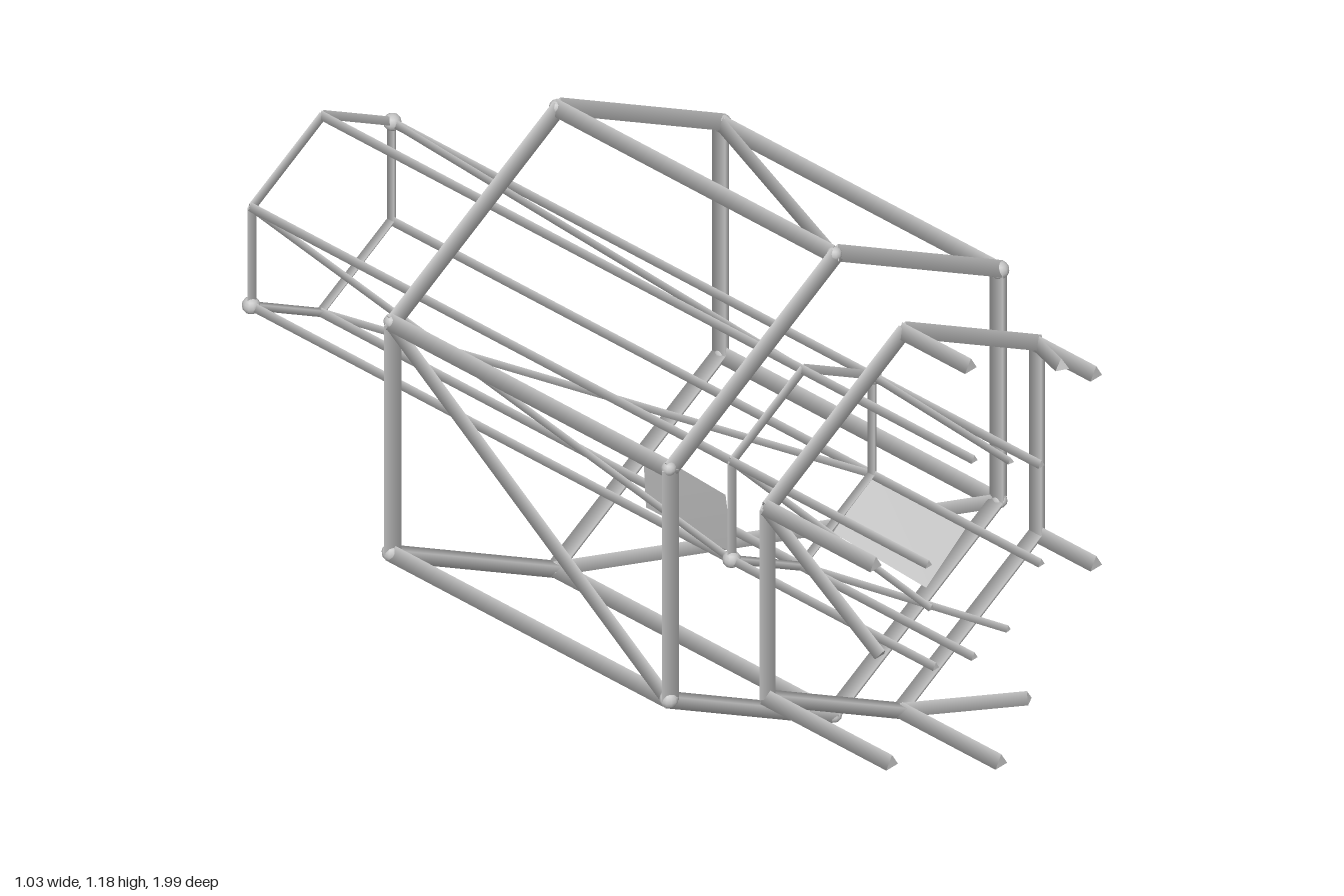
import * as THREE from 'three';

const steel = new THREE.MeshStandardMaterial({ color: 0xc4c4c4 });
steel.name = 'bare steel';
const sheet = new THREE.MeshStandardMaterial({ color: 0xc4c4c4, side: THREE.DoubleSide });
sheet.name = 'sheet steel';

const CY = 0.585; // height of the common axis
const V = (x, y, z) => new THREE.Vector3(x, y, z);

// corner i of a hexagon, counted from the top towards +x
function corner(radius, i, z) {
  const a = (i * Math.PI) / 3;
  return V(Math.sin(a) * radius, CY + Math.cos(a) * radius, z);
}

// three-sided bar from a to b with one ridge turned towards "ridge"
function bar(group, name, a, b, r, ridge = V(0, 1, 0)) {
  const dir = b.clone().sub(a);
  const mesh = new THREE.Mesh(new THREE.CylinderGeometry(r, r, dir.length(), 3), steel);
  dir.normalize();
  const side = dir.clone().cross(ridge).normalize();
  const up = side.clone().cross(dir);
  mesh.quaternion.setFromRotationMatrix(new THREE.Matrix4().makeBasis(side, dir, up));
  mesh.position.copy(a).add(b).multiplyScalar(0.5);
  mesh.name = name;
  group.add(mesh);
}

function ball(group, p, r) {
  const mesh = new THREE.Mesh(new THREE.SphereGeometry(r, 12, 8), steel);
  mesh.position.copy(p);
  mesh.name = 'jointBall';
  group.add(mesh);
}

// hexagonal frame ring, ridges outward
function ring(group, name, radius, z, r) {
  for (let i = 0; i < 6; i++) {
    const a = corner(radius, i, z), b = corner(radius, i + 1, z);
    const out = a.clone().add(b).multiplyScalar(0.5).sub(V(0, CY, z));
    bar(group, name, a, b, r, out);
  }
}

// thin sheet through four corners
function panel(group, name, pts) {
  const g = new THREE.BufferGeometry().setFromPoints(pts);
  g.setIndex([0, 1, 2, 0, 2, 3]);
  g.computeVertexNormals();
  const mesh = new THREE.Mesh(g, sheet);
  mesh.name = name;
  group.add(mesh);
}

function section(root, name) {
  const g = new THREE.Group();
  g.name = name;
  root.add(g);
  return g;
}

export function createModel() {
  const root = new THREE.Group();
  root.name = 'brokenTruss';

  // outer cage: two rings, six beams and three diagonals
  const cage = section(root, 'outerCage');
  const R = 0.569, F = 0.458, B = -0.318, t = 0.021;
  for (const z of [F, B]) {
    ring(cage, 'cageRing', R, z, t);
    for (let i = 0; i < 6; i++) ball(cage, corner(R, i, z), i === 1 || i === 4 ? 0.02 : 0.016);
  }
  for (let i = 0; i < 6; i++) bar(cage, 'cageBeam', corner(R, i, F), corner(R, i, B), t);
  for (const i of [0, 2, 4]) bar(cage, 'cageDiagonal', corner(R, i, F), corner(R, i + 1, B), 0.017);

  // front ring with snapped beams and braces
  const front = section(root, 'frontRing');
  const FR = 0.468, FZ = 0.648;
  ring(front, 'frontRingEdge', FR, FZ, 0.02);
  [0.84, 0.81, 0.81, 0.925, 1.0, 0.955].forEach((z, i) => {
    bar(front, 'snappedBeam', corner(FR, i, FZ), corner(FR, i, z), 0.02);
  });
  bar(front, 'snappedBrace', corner(FR, 1, FZ), V(0.335, 0.86, 0.78), 0.017);
  bar(front, 'snappedBrace', corner(FR, 3, FZ), V(0.13, 0.19, 0.88), 0.017);
  bar(front, 'snappedBrace', corner(FR, 5, FZ), V(-0.405, 0.605, 0.97), 0.017);

  // long inner spine, whole behind and snapped in front
  const spine = section(root, 'innerSpine');
  const S = 0.243, SF = 0.368, SB = -0.975, s = 0.011;
  for (const z of [SF, SB]) {
    ring(spine, 'spineRing', S, z, s);
    ball(spine, corner(S, 1, z), 0.019);
    ball(spine, corner(S, 4, z), 0.019);
  }
  [0.85, 0.84, 0.84, 0.85, 0.94, 0.92].forEach((z, i) => {
    bar(spine, 'spineBeam', corner(S, i, SB), corner(S, i, z), s);
  });
  for (const i of [0, 2, 4]) bar(spine, 'spineDiagonal', corner(S, i, SF), corner(S, i + 1, SB), 0.009);
  bar(spine, 'snappedSpineBrace', corner(S, 1, SF), V(0.13, 0.75, 0.83), 0.009);
  bar(spine, 'snappedSpineBrace', corner(S, 3, SF), V(0.08, 0.38, 0.87), 0.009);
  bar(spine, 'snappedSpineBrace', corner(S, 5, SF), V(-0.213, 0.605, 0.93), 0.009);

  // loose hull sheets on the spine, slightly twisted
  panel(spine, 'sideSheet', [
    V(-0.206, 0.475, 0.125), V(-0.206, 0.475, 0.368), V(-0.228, 0.63, 0.368), V(-0.215, 0.63, 0.125)]);
  panel(spine, 'lowerSheet', [
    V(0.21, 0.463, 0.37), V(0.21, 0.463, 0.635), V(0.085, 0.37, 0.635), V(0.09, 0.38, 0.37)]);

  return root;
}
